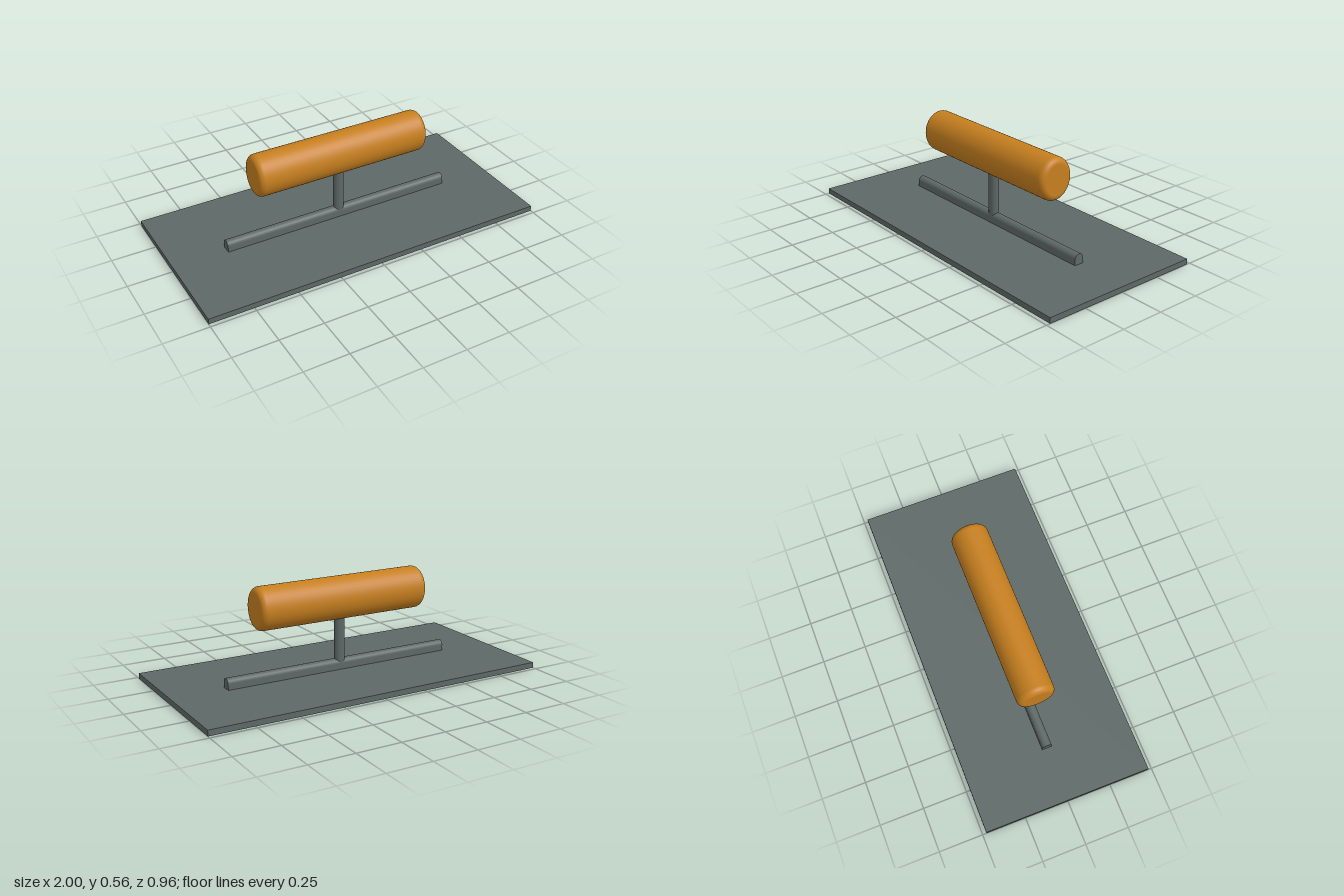
import * as THREE from 'three';

const steel = new THREE.MeshStandardMaterial({ color: 0x5d6866 });
const wood = new THREE.MeshStandardMaterial({ color: 0xc67f1f });

export function createModel() {
  const model = new THREE.Group();
  const add = (name, geometry, material) => {
    const mesh = new THREE.Mesh(geometry, material);
    mesh.name = name;
    model.add(mesh);
    return mesh;
  };

  // flat rectangular blade
  const bladeTop = 0.032;
  add('blade', new THREE.BoxGeometry(2, bladeTop, 0.956), steel).position.y = bladeTop / 2;

  // mounting rail with a rounded top, running along x
  const r = 0.0275, railTop = 0.092, railLength = 1.38;
  const section = new THREE.Shape();
  section.moveTo(-r, bladeTop);
  section.lineTo(r, bladeTop);
  section.lineTo(r, railTop - r);
  section.absarc(0, railTop - r, r, 0, Math.PI, false);
  section.closePath();
  const railGeometry = new THREE.ExtrudeGeometry(section, {
    depth: railLength, bevelEnabled: false, curveSegments: 16,
  });
  railGeometry.translate(0, 0, -railLength / 2).rotateY(Math.PI / 2);
  add('mountingRail', railGeometry, steel);

  // upright post from the rail into the grip
  const postBottom = 0.05, postTop = 0.36;
  const post = add('post', new THREE.CylinderGeometry(r, r, postTop - postBottom, 32), steel);
  post.position.y = (postBottom + postTop) / 2;
  post.scale.x = 1.12;

  // oval grip with filleted ends
  const half = 0.515, radius = 0.12, fillet = 0.035;
  const profile = [new THREE.Vector2(0, -half)];
  for (const end of [-1, 1]) {
    for (let i = 0; i <= 8; i++) {
      const a = end * (end < 0 ? 1 - i / 8 : i / 8) * Math.PI / 2;
      profile.push(new THREE.Vector2(
        radius - fillet + fillet * Math.cos(a),
        end * (half - fillet) + fillet * Math.sin(a),
      ));
    }
  }
  profile.push(new THREE.Vector2(0, half));
  const gripGeometry = new THREE.LatheGeometry(profile, 48);
  gripGeometry.rotateZ(Math.PI / 2).scale(1, 1, 0.106 / radius);
  add('grip', gripGeometry, wood).position.y = 0.441;

  return model;
}
